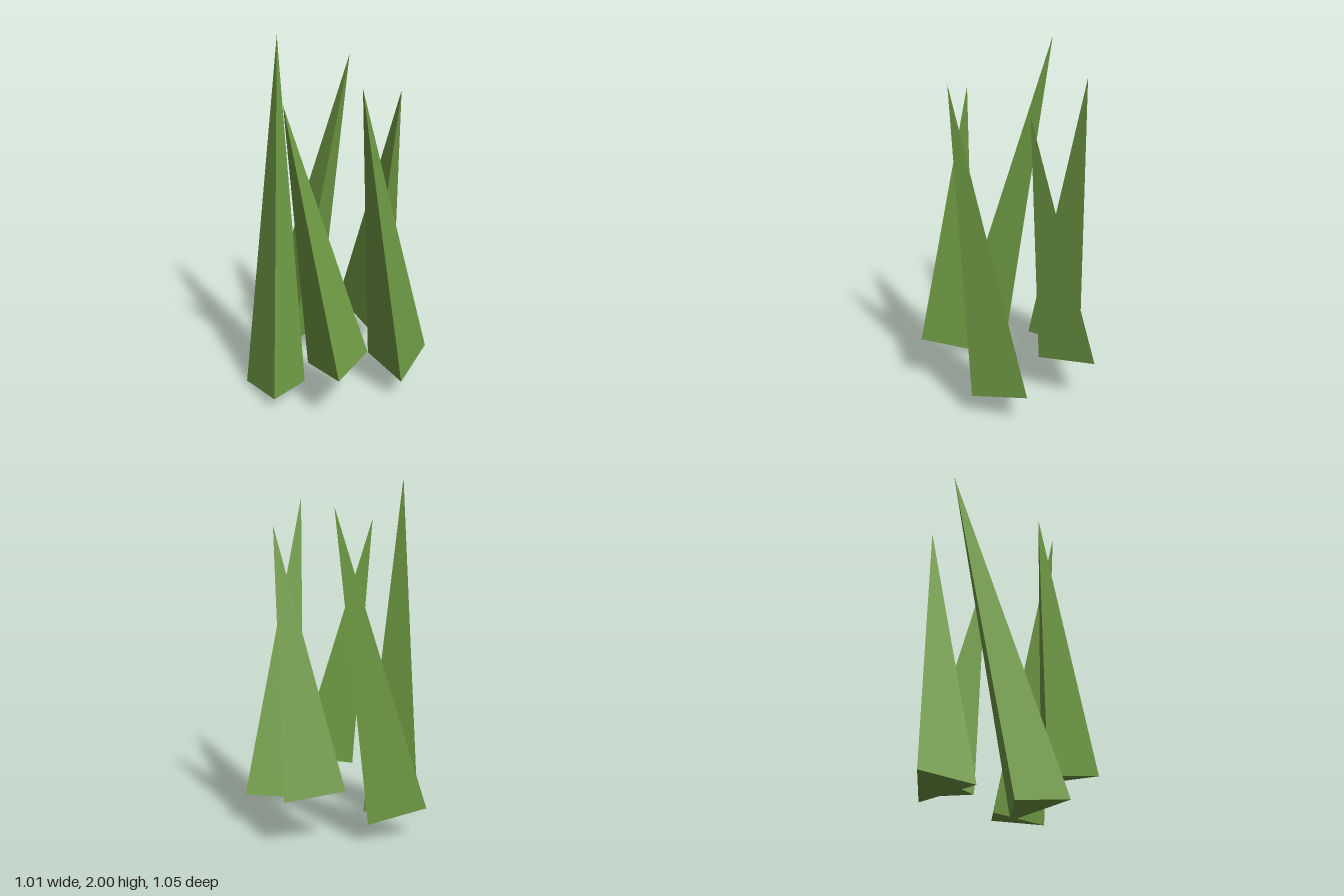
import * as THREE from 'three';

const leafGreen = new THREE.MeshStandardMaterial({ color: 0x6f9b44 });
leafGreen.name = 'leafGreen';

const UP = new THREE.Vector3(0, 1, 0);
const RADIUS = 0.197;

// Three-sided straight spike from the centre of its base to its tip
function makeBlade(base, tip) {
  const from = new THREE.Vector3(...base);
  const axis = new THREE.Vector3(...tip).sub(from);
  const height = axis.length();
  // One base corner points to +x
  const cone = new THREE.ConeGeometry(RADIUS, height, 3, 1, false, Math.PI / 2);
  cone.translate(0, height / 2, 0);
  const geometry = cone.toNonIndexed();
  geometry.computeVertexNormals(); // flat facets
  const blade = new THREE.Mesh(geometry, leafGreen);
  blade.quaternion.setFromUnitVectors(UP, axis.normalize());
  blade.position.copy(from);
  return blade;
}

export function createModel() {
  const grass = new THREE.Group();
  grass.name = 'grassTuft';

  // Ring of leaning blades: [name, base centre, tip]
  const blades = [
    ['rightBlade', [-0.406, 0.027, 0.001], [-0.165, 2.0, -0.333]],
    ['frontRightBlade', [-0.195, 0.288, 0.352], [-0.374, 1.742, 0.107]],
    ['frontLeftBlade', [0.248, 0.16, 0.303], [-0.093, 1.862, 0.416]],
    ['leftBlade', [0.308, 0.289, -0.123], [0.308, 1.742, 0.183]],
    ['backBlade', [-0.091, 0.158, -0.356], [0.247, 1.862, -0.242]],
  ];
  for (const [name, base, tip] of blades) {
    const blade = makeBlade(base, tip);
    blade.name = name;
    grass.add(blade);
  }
  return grass;
}
